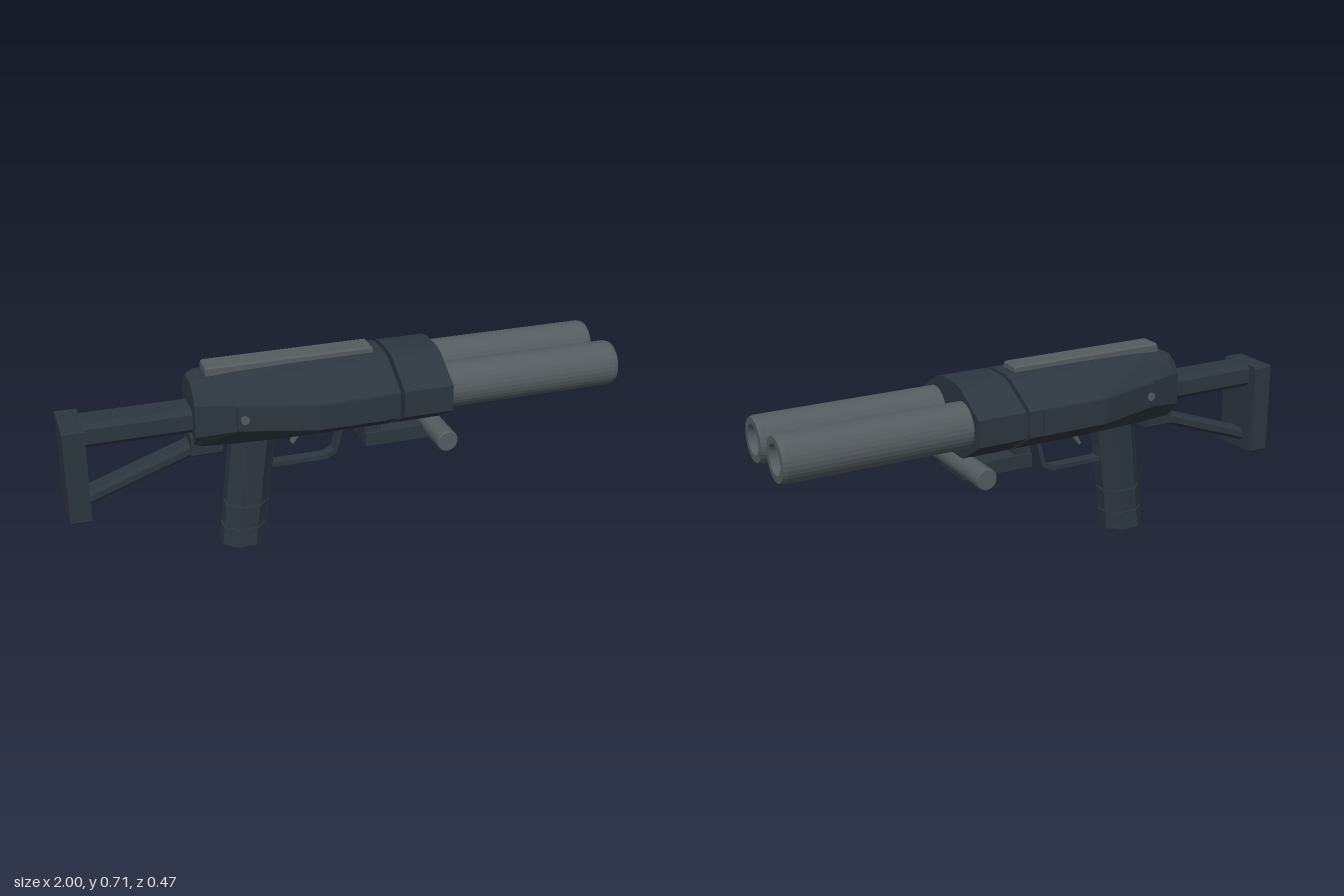
import * as THREE from 'three';

export function createModel() {
  const root = new THREE.Group();
  const material = (name, color) => {
    const m = new THREE.MeshStandardMaterial({ color });
    m.name = name;
    return m;
  };
  const dark = material('dark blue grey', 0x2d363f);
  const grey = material('gunmetal grey', 0x545c5f);
  const bronze = material('bronze', 0x674f37);

  // Adds a hard-edged mesh
  const add = (name, geometry, mat, x = 0, y = 0, z = 0) => {
    const g = geometry.index ? geometry.toNonIndexed() : geometry;
    g.computeVertexNormals();
    const mesh = new THREE.Mesh(g, mat);
    mesh.name = name;
    mesh.position.set(x, y, z);
    root.add(mesh);
    return mesh;
  };
  const box = (name, mat, x0, x1, y0, y1, halfZ) =>
    add(name, new THREE.BoxGeometry(x1 - x0, y1 - y0, halfZ * 2), mat, (x0 + x1) / 2, (y0 + y1) / 2, 0);

  // Skin over a row of rings with equal point counts, capped at both ends
  const loft = (rings) => {
    const n = rings[0].length, tris = [];
    for (let r = 0; r < rings.length - 1; r++) {
      for (let i = 0; i < n; i++) {
        const j = (i + 1) % n, a = rings[r], b = rings[r + 1];
        tris.push([a[i], a[j], b[j]], [a[i], b[j], b[i]]);
      }
    }
    const last = rings[rings.length - 1];
    for (let i = 1; i < n - 1; i++) {
      tris.push([rings[0][0], rings[0][i + 1], rings[0][i]], [last[0], last[i], last[i + 1]]);
    }
    // Turn the skin outward if its volume is negative
    let volume = 0;
    const v = (p) => new THREE.Vector3(...p);
    for (const [a, b, c] of tris) volume += v(a).dot(v(b).cross(v(c)));
    const flat = tris.flatMap((t) => (volume < 0 ? [t[0], t[2], t[1]] : t)).flat();
    const g = new THREE.BufferGeometry();
    g.setAttribute('position', new THREE.Float32BufferAttribute(flat, 3));
    return g;
  };

  // Body section at x: bottom, lower side, upper side, shoulder, top, half widths
  const section = (x, y0, y1, y2, y3, y4, bottom, side, shoulder, top) => {
    const half = [[bottom, y0], [side, y1], [side, y2], [shoulder, y3], [top, y4]];
    return [
      ...half.map(([z, y]) => [x, y, z]),
      ...half.reverse().map(([z, y]) => [x, y, -z]),
    ];
  };

  // Receiver, tapering to the rear
  add('receiver', loft([
    section(-0.555, 0.435, 0.48, 0.6, 0.64, 0.66, 0.06, 0.10, 0.07, 0.04),
    section(-0.53, 0.43, 0.485, 0.6, 0.655, 0.672, 0.07, 0.11, 0.075, 0.045),
    section(-0.41, 0.427, 0.505, 0.6, 0.665, 0.68, 0.08, 0.145, 0.085, 0.05),
    section(-0.16, 0.427, 0.505, 0.6, 0.675, 0.685, 0.095, 0.22, 0.09, 0.05),
    section(0.14, 0.427, 0.505, 0.6, 0.675, 0.685, 0.095, 0.22, 0.09, 0.05),
  ]), dark);
  // Forward block around the barrels
  add('barrelBlock', loft([0.155, 0.335].map((x) =>
    section(x, 0.427, 0.505, 0.6, 0.675, 0.685, 0.095, 0.22, 0.09, 0.05))), dark);
  // Raised side panels following the taper
  for (const s of [1, -1]) {
    const panel = [[-0.42, 0.142], [-0.16, 0.22], [0.09, 0.22]].map(([x, z]) => [
      [x, 0.508, s * (z - 0.02)], [x, 0.508, s * (z + 0.009)],
      [x, 0.598, s * (z + 0.009)], [x, 0.598, s * (z - 0.02)],
    ]);
    add('sidePanel', loft(panel), dark);
    add('receiverPin', new THREE.CylinderGeometry(0.015, 0.015, 0.03, 12).rotateX(Math.PI / 2),
      grey, -0.395, 0.55, s * 0.15);
  }
  // Top rail with bevelled edges
  const railRing = (x, inset) => [[0.675, 0.042], [0.7, 0.042], [0.707, 0.036], [0.707, -0.036], [0.7, -0.042], [0.675, -0.042]]
    .map(([y, z]) => [x, y - (y > 0.69 ? inset : 0), z]);
  add('topRail', loft([railRing(-0.5, 0.006), railRing(-0.494, 0), railRing(0.094, 0), railRing(0.1, 0.006)]), grey);

  // Twin barrels, open at the muzzle, with a round seated inside each
  const profile = [[0.082, 0.25], [0.082, 0.985], [0.077, 1], [0.053, 1], [0.05, 0.985], [0.05, 0.4]]
    .map(([r, y]) => new THREE.Vector2(r, y));
  for (const z of [0.105, -0.105]) {
    add('barrel', new THREE.LatheGeometry(profile, 32).rotateZ(-Math.PI / 2), grey, 0, 0.553, z);
    add('chamberedRound', new THREE.CircleGeometry(0.0505, 32).rotateY(Math.PI / 2), bronze, 0.42, 0.553, z);
  }

  // Hinge and crossbar handle below the block
  box('hingeBlock', dark, 0.06, 0.12, 0.385, 0.435, 0.08);
  box('hingePlate', dark, 0.06, 0.335, 0.345, 0.395, 0.09);
  const barProfile = [[0, -0.235], [0.035, -0.235], [0.039, -0.23], [0.039, 0.23], [0.035, 0.235], [0, 0.235]]
    .map(([r, y]) => new THREE.Vector2(r, y));
  add('crossbarHandle', new THREE.LatheGeometry(barProfile, 20).rotateX(Math.PI / 2), grey, 0.315, 0.393, 0);

  // Slanted octagonal grip with two grooves
  const gripRing = ([y, halfZ, inset = 0]) => {
    const cx = -0.383 + y * 0.115, hx = 0.079 - inset, hz = halfZ - inset;
    const fx = hx * 0.45, fz = 0.027;
    return [[fx, hz], [hx, fz], [hx, -fz], [fx, -hz], [-fx, -hz], [-hx, -fz], [-hx, fz], [-fx, hz]]
      .map(([x, z]) => [cx + x, y, z]);
  };
  add('grip', loft([
    [0, 0.068], [0.04, 0.065], [0.069, 0.064], [0.0695, 0.064, 0.005], [0.0775, 0.064, 0.005], [0.078, 0.064],
    [0.16, 0.067], [0.1605, 0.067, 0.005], [0.1685, 0.067, 0.005], [0.169, 0.067], [0.435, 0.075],
  ].map(gripRing)), dark);

  // Trigger guard loop
  const outline = (pts, Type) => new Type(pts.map(([x, y]) => new THREE.Vector2(x, y)));
  const guard = outline([[-0.28, 0.43], [-0.28, 0.28], [-0.065, 0.28], [-0.025, 0.302], [0, 0.4], [-0.012, 0.43]], THREE.Shape);
  guard.holes.push(outline([[-0.265, 0.42], [-0.03, 0.42], [-0.016, 0.4], [-0.038, 0.315], [-0.07, 0.297], [-0.265, 0.297]], THREE.Path));
  add('triggerGuard', new THREE.ExtrudeGeometry(guard, { depth: 0.04, bevelEnabled: false }), dark, 0, 0, -0.02);
  const trigger = outline([[-0.175, 0.43], [-0.155, 0.43], [-0.165, 0.385], [-0.187, 0.355], [-0.195, 0.362], [-0.18, 0.39]], THREE.Shape);
  add('trigger', new THREE.ExtrudeGeometry(trigger, { depth: 0.02, bevelEnabled: false }), grey, 0, 0, -0.01);

  // Beam with chamfered edges between two points on the centre line
  const beam = (name, [ax, ay], [bx, by], halfY, halfZ, c) => {
    const ring = (x, y) => [[halfY - c, halfZ], [halfY, halfZ - c], [halfY, c - halfZ], [halfY - c, -halfZ],
      [c - halfY, -halfZ], [-halfY, c - halfZ], [-halfY, halfZ - c], [c - halfY, halfZ]]
      .map(([dy, z]) => [x, y + dy, z]);
    return add(name, loft([ring(ax, ay), ring(bx, by)]), dark);
  };
  // Skeleton stock
  beam('stockTube', [-0.94, 0.52], [-0.54, 0.52], 0.045, 0.06, 0.018);
  beam('stockStrut', [-0.94, 0.268], [-0.54, 0.41], 0.024, 0.04, 0.012);
  beam('stockBracket', [-0.565, 0.425], [-0.455, 0.425], 0.04, 0.06, 0.008);
  beam('buttPlate', [-1, 0.388], [-0.925, 0.388], 0.173, 0.095, 0.005);

  return root;
}
